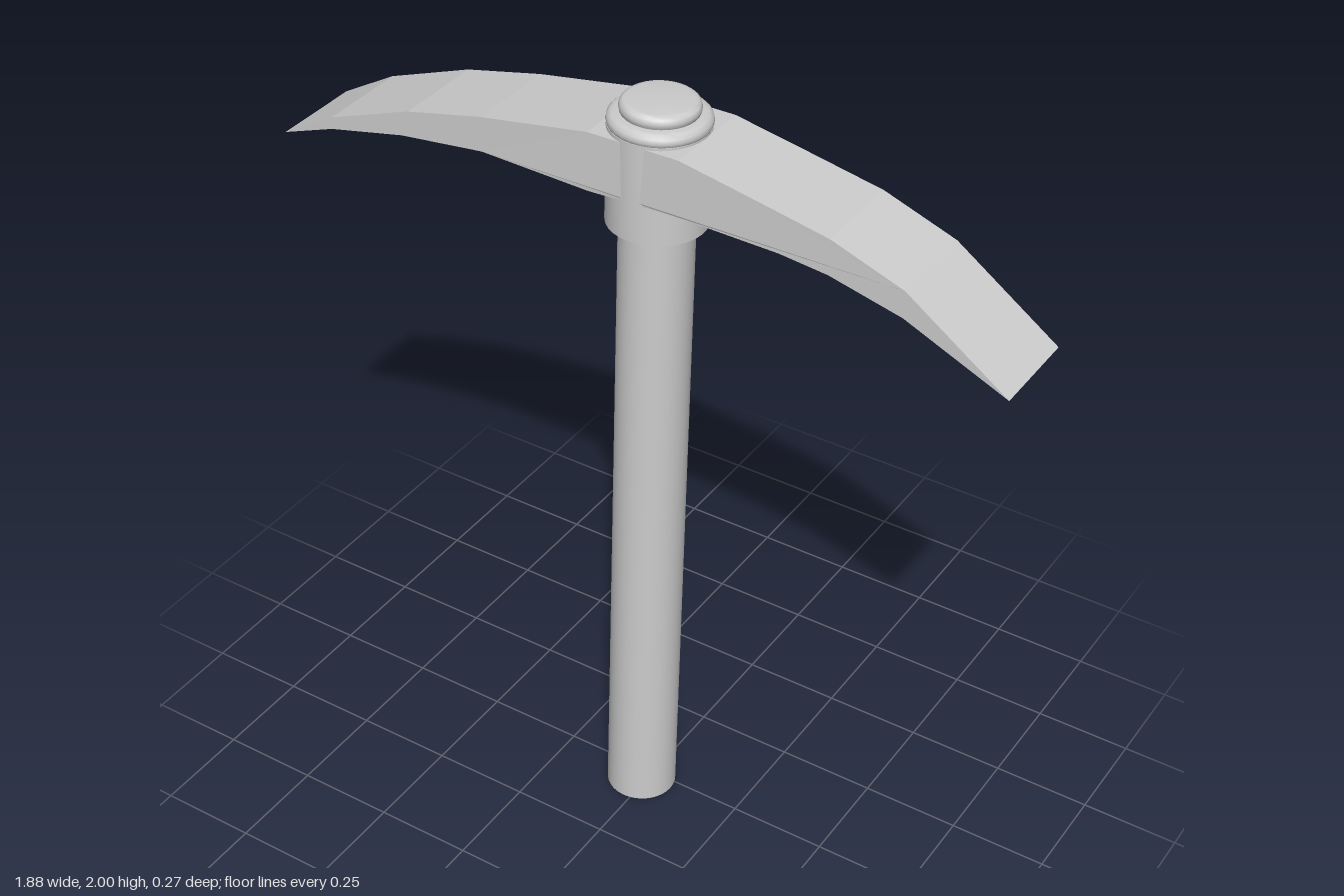
import * as THREE from 'three';
import { toCreasedNormals } from 'three/addons/utils/BufferGeometryUtils.js';

const material = new THREE.MeshStandardMaterial({ color: 0xcccccc });
const SIDES = 32;

function part(name, geometry, parent) {
  const mesh = new THREE.Mesh(geometry, material);
  mesh.name = name;
  parent.add(mesh);
  return mesh;
}

// Closed turned part from [radius, height] pairs, listed from bottom to top
function turned(name, profile, parent) {
  const points = profile.map(([r, y]) => new THREE.Vector2(r, y));
  return part(name, toCreasedNormals(new THREE.LatheGeometry(points, SIDES), 0.7), parent);
}

// Arched double-ended head, drawn from the side and extruded through its depth
function headGeometry() {
  const outline = [
    [-0.94, 1.685], [-0.8, 1.735], [-0.6, 1.778], [-0.38, 1.803], [-0.1, 1.79],
    [0.12, 1.797], [0.38, 1.79], [0.5, 1.777], [0.68, 1.733], [0.935, 1.62],
    [0.68, 1.8], [0.5, 1.865], [0.3, 1.904], [0.13, 1.936], [-0.1, 1.936],
    [-0.38, 1.89], [-0.58, 1.845], [-0.8, 1.765],
  ];
  const depth = 0.232;
  const shape = new THREE.Shape(outline.map(([x, y]) => new THREE.Vector2(x, y)));
  const geometry = new THREE.ExtrudeGeometry(shape, { depth, bevelEnabled: false });
  // The two arms swing slightly out of line, and the head leans with the handle
  const p = geometry.attributes.position;
  for (let i = 0; i < p.count; i++) {
    const x = p.getX(i);
    const swing = x < 0 ? -0.025 * x : -0.015 * x;
    const lean = -0.0185 * (p.getY(i) - 1.8);
    p.setZ(i, p.getZ(i) - depth / 2 - 0.008 + swing + lean);
  }
  geometry.computeVertexNormals();
  return geometry;
}

export function createModel() {
  const model = new THREE.Group();
  model.name = 'pickaxe';

  // Leaning shaft with its fittings
  const shaft = new THREE.Group();
  shaft.name = 'shaft';
  shaft.position.set(-0.018, 0.002, 0.028);
  shaft.rotation.set(-0.0185, 0, -0.0155);
  model.add(shaft);

  turned('handle', [[0, 0], [0.088, 0], [0.088, 1.75], [0, 1.75]], shaft);
  turned('collar', [[0, 1.695], [0.118, 1.695], [0.118, 1.94], [0, 1.94]], shaft);
  turned('capRing', [
    [0, 1.93], [0.108, 1.932], [0.116, 1.938], [0.119, 1.948], [0.117, 1.958],
    [0.109, 1.966], [0.1, 1.968], [0, 1.968],
  ], shaft);
  turned('endCap', [
    [0, 1.96], [0.082, 1.96], [0.09, 1.97], [0.092, 1.98], [0.089, 1.99],
    [0.082, 1.996], [0.075, 1.997], [0, 1.997],
  ], shaft);

  part('pickHead', headGeometry(), model);

  return model;
}
